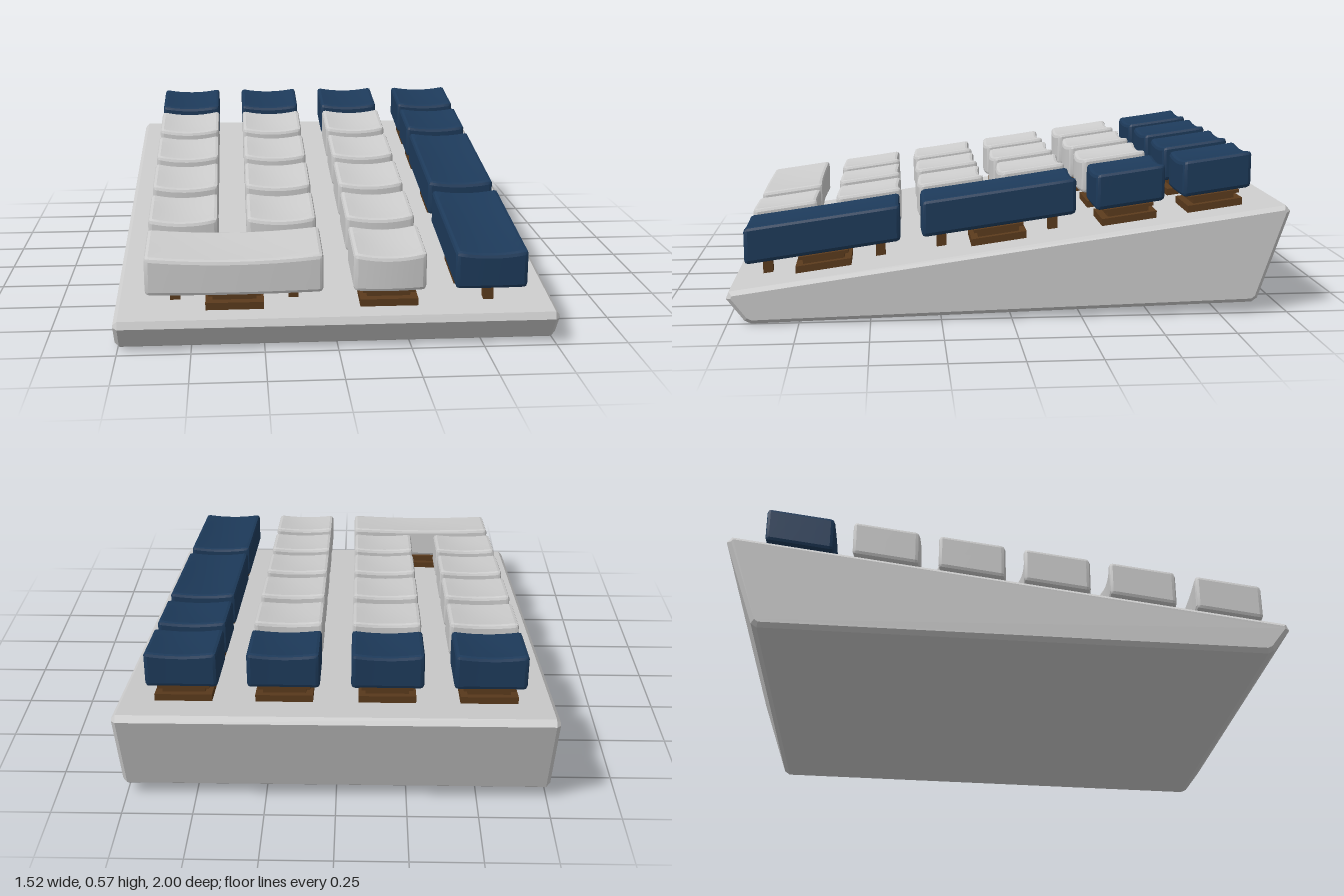
import * as THREE from 'three';
import { toCreasedNormals } from 'three/addons/utils/BufferGeometryUtils.js';

const SLOPE = 0.14;      // fall of the deck towards the front
const DECK = 0.255;      // deck height at z = 0
const grey = new THREE.MeshStandardMaterial({ color: 0xcccccc });
const blue = new THREE.MeshStandardMaterial({ color: 0x1d3a5a });
const brown = new THREE.MeshStandardMaterial({ color: 0x5a3a1c });

// Places a geometry on the deck at (x, z) and shears it to follow the slope
function onDeck(geo, x, z, lift) {
  geo.translate(x, lift + DECK, z);
  geo.applyMatrix4(new THREE.Matrix4().set(1, 0, 0, 0, 0, 1, -SLOPE, 0, 0, 0, 1, 0, 0, 0, 0, 1));
  geo.computeVertexNormals();
  return geo;
}

// Wedge-shaped case with cut corners and bevelled sides
function makeCase() {
  const inset = 0.015, cut = 0.02;
  const corners = [[0.99, 0.102], [0.924, 0.015], [-0.874, 0.055], [-0.985, 0.378]]
    .map(([z, y]) => new THREE.Vector2(z, y));
  const points = [];
  corners.forEach((c, i) => {
    for (const n of [corners[(i + 3) % 4], corners[(i + 1) % 4]]) {
      points.push(c.clone().add(n.clone().sub(c).setLength(cut / 2)));
    }
  });
  const width = 1.52;
  const geo = new THREE.ExtrudeGeometry(new THREE.Shape(points), {
    depth: width - 2 * inset, bevelEnabled: true, bevelSize: inset, bevelThickness: inset, bevelSegments: 1,
  });
  geo.translate(0, 0, -(width / 2 - inset));
  geo.rotateY(-Math.PI / 2);
  const mesh = new THREE.Mesh(geo, grey);
  mesh.name = 'case';
  return mesh;
}

// Keycap: a box with softened edges, a dished top and slightly bowed ends
function capGeometry(w, d, bow) {
  const h = 0.135, r = 0.014, n = [10, 4, 10];
  const half = [w / 2, h / 2, d / 2];
  const geo = new THREE.BoxGeometry(w, h, d, ...n);
  const pos = geo.attributes.position;
  const p = new THREE.Vector3(), inner = new THREE.Vector3();
  for (let i = 0; i < pos.count; i++) {
    p.fromBufferAttribute(pos, i);
    for (let a = 0; a < 3; a++) {
      // Outermost grid strip becomes the edge radius
      const t = p.getComponent(a) / half[a];
      const s = Math.abs(t) > 0.999 ? half[a] : (half[a] - r) * Math.abs(t) / (1 - 2 / n[a]);
      p.setComponent(a, Math.sign(t) * s);
      inner.setComponent(a, THREE.MathUtils.clamp(p.getComponent(a), -half[a] + r, half[a] - r));
    }
    p.sub(inner).setLength(r).add(inner);
    const u = 1 - (p.x / half[0]) ** 2, v = 1 - (p.z / half[2]) ** 2;
    if (p.y > half[1] - r - 0.001) p.y -= 0.011 * u + 0.005 * u * v;
    p.z += bow * u;
    pos.setXYZ(i, p.x, p.y, p.z);
  }
  return geo;
}

// Switch under a cap: base plate, neck and upper collar, as [width, bottom, top]
const SWITCH = [[0.2, -0.005, 0.026], [0.15, 0.026, 0.045], [0.18, 0.045, 0.056], [0.08, 0.056, 0.1]];

function makeKey(x, z, w, d, material) {
  const key = new THREE.Group();
  key.name = 'key';
  const cap = onDeck(capGeometry(w, d, material === grey ? 0.01 : 0.003), x, z, 0.132);
  const capMesh = new THREE.Mesh(toCreasedNormals(cap, 0.35), material);
  capMesh.name = 'keycap';
  key.add(capMesh);

  const block = (name, bx, bz, bw, bd, y0, y1) => {
    const geo = onDeck(new THREE.BoxGeometry(bw, y1 - y0, bd), bx, bz, (y0 + y1) / 2);
    const mesh = new THREE.Mesh(toCreasedNormals(geo, 0.35), brown);
    mesh.name = name;
    key.add(mesh);
  };
  for (const [s, y0, y1] of SWITCH) block('switch', x, z, s, s, y0, y1);

  // Long keys carry a stabiliser post near each end
  if (Math.max(w, d) > 0.4) {
    for (const s of [-0.205, 0.205]) {
      const wide = w > d;
      block('stabiliserPost', x + (wide ? s : 0), z + (wide ? 0 : s), 0.035, 0.035, -0.005, 0.1);
    }
  }
  return key;
}

export function createModel() {
  const model = new THREE.Group();
  model.name = 'numericKeypad';
  model.add(makeCase());

  const cols = [-0.53, -0.177, 0.18, 0.53];
  const rows = [-0.755, -0.44, -0.125, 0.188, 0.503, 0.822];
  const size = 0.25;

  // Blue top row and right column, with two tall keys
  for (const x of cols) model.add(makeKey(x, rows[0], size, size, blue));
  model.add(makeKey(cols[3], rows[1], size, size, blue));
  model.add(makeKey(cols[3], 0.035, size, 0.555, blue));
  model.add(makeKey(cols[3], 0.667, size, 0.555, blue));

  // Grey number block
  for (const z of rows.slice(1, 5)) {
    for (const x of cols.slice(0, 3)) model.add(makeKey(x, z, size, 0.245, grey));
  }
  // Bottom row: wide key and single key
  model.add(makeKey(-0.35, rows[5], 0.605, 0.245, grey));
  model.add(makeKey(cols[2], rows[5], size, 0.245, grey));
  return model;
}
